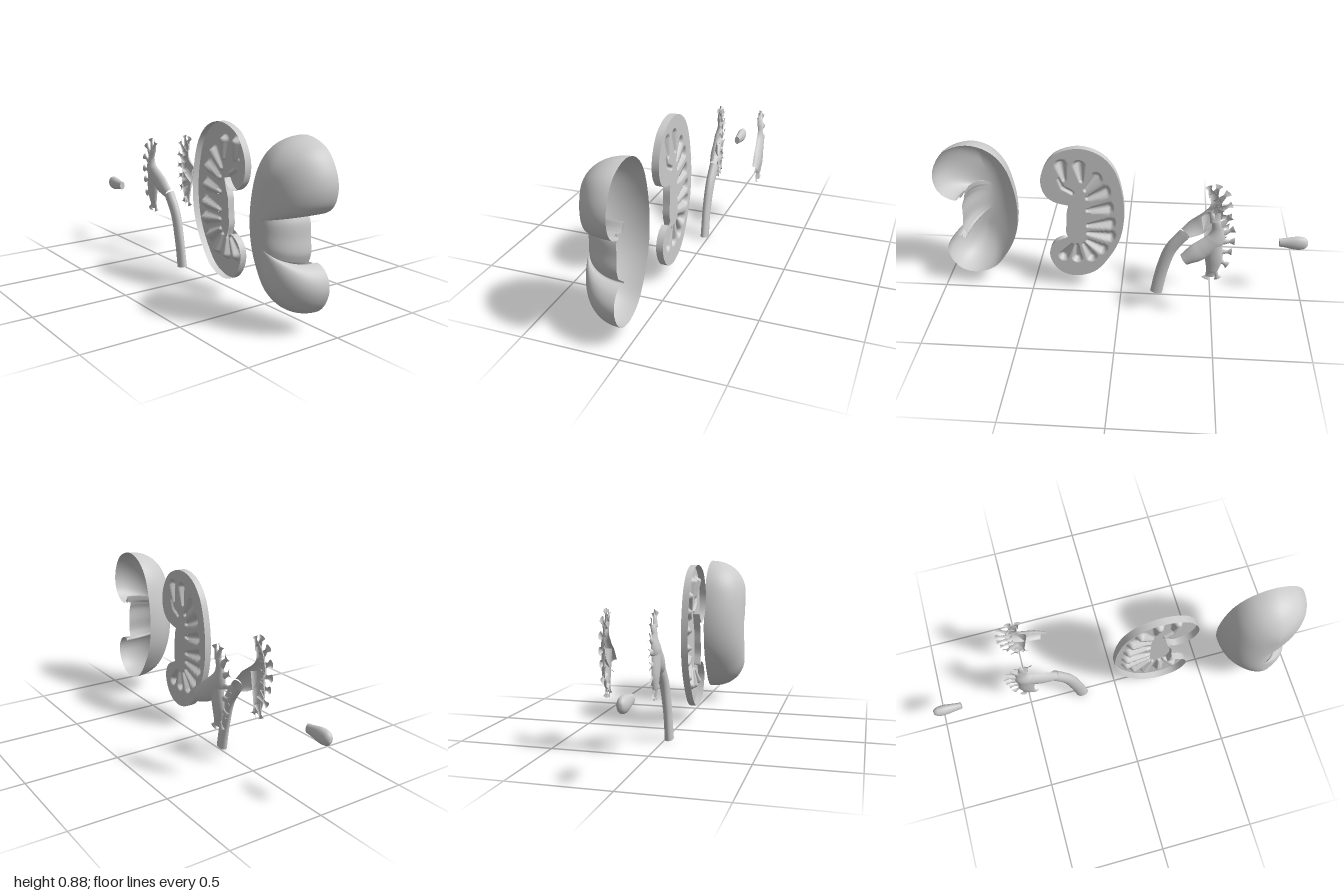
import * as THREE from 'three';
import { mergeVertices } from 'three/addons/utils/BufferGeometryUtils.js';

const material = new THREE.MeshStandardMaterial({ color: 0xcccccc, side: THREE.DoubleSide });

function add(parent, name, geometry) {
  const mesh = new THREE.Mesh(geometry, material);
  mesh.name = name;
  parent.add(mesh);
  return mesh;
}

// Smooth surface from a rule fn(u, v) -> [x, y, z]
function surface(nu, nv, fn) {
  const g = new THREE.PlaneGeometry(1, 1, nu, nv);
  const pos = g.attributes.position, uv = g.attributes.uv;
  for (let i = 0; i < pos.count; i++) pos.setXYZ(i, ...fn(uv.getX(i), uv.getY(i)));
  g.deleteAttribute('uv');
  g.deleteAttribute('normal');
  const merged = mergeVertices(g, 1e-5);
  merged.computeVertexNormals();
  return merged;
}

// Bean-shaped outline as [z, y], with the notch on the +z side
const outline = new THREE.CatmullRomCurve3([
  [.80, .88], [.92, .84], [.98, .76], [1, .68], [.985, .61], [.95, .57], [.89, .55], [.855, .575],
  [.835, .605], [.85, .55], [.865, .51], [.87, .44], [.875, .37], [.86, .31], [.89, .325], [.935, .305],
  [.965, .26], [.97, .21], [.945, .145], [.90, .10], [.82, .083], [.72, .12], [.645, .21],
  [.585, .33], [.56, .465], [.57, .625], [.615, .77], [.69, .85],
].map(([z, y]) => new THREE.Vector3(0, y, z)), true);

// Point between the middle spine (t = 0) and the outline (t = 1)
function inside(u, t) {
  const p = outline.getPoint(u % 1);
  const ys = .48 + (p.y - .48) * .5;
  const zs = .735 + 1.2 * (ys - .48) ** 2;
  return { y: ys + (p.y - ys) * t, z: zs + (p.z - zs) * t, rim: p };
}

// Half shell, its rim cut back at the notch
function shellGeometry() {
  return surface(224, 40, (u, v) => {
    const a = v * Math.PI / 2;
    const p = inside(u, Math.sin(a));
    const notch = p.rim.z > .8 && p.rim.z < .882 && p.rim.y > .32 && p.rim.y < .56;
    const x0 = notch ? -.055 : -.03;
    return [x0 - (.245 + x0) * Math.cos(a) ** .92, p.y, p.z];
  });
}

// Drop-shaped hollows in the slice: [z, y] wide end, [z, y] narrow end, two radii
const hollows = [
  [.315, .785, .30, .70], [.22, .785, .21, .695], [.13, .715, .19, .64], [.085, .635, .18, .59],
  [.07, .535, .18, .515], [.06, .44, .18, .42], [.06, .355, .18, .37], [.105, .27, .185, .32],
  [.165, .215, .205, .295], [.245, .205, .245, .285], [.32, .215, .275, .285],
].map((h) => [...h, .032, .014]);
hollows.push([.33, .70, .31, .65, .008, .012], [.31, .65, .26, .62, .012, .012]);

function hollowDepth(z, y) {
  let depth = 0;
  for (const [z0, y0, z1, y1, r0, r1] of hollows) {
    const dz = z1 - z0, dy = y1 - y0;
    const k = THREE.MathUtils.clamp(((z - z0) * dz + (y - y0) * dy) / (dz * dz + dy * dy), 0, 1);
    const r = r0 + (r1 - r0) * k;
    const d = Math.hypot(z - z0 - dz * k, y - y0 - dy * k) / r;
    depth = Math.max(depth, r * (1 - THREE.MathUtils.smoothstep(d, .25, 1)));
  }
  return depth;
}

// Sweep along a path in the y-z plane; stations are [x, y, z, radius, flatness].
// side 0 makes a full tube, +1 or -1 only the half bulging to that side of x.
function sweep(stations, side, steps = 24, around = 20) {
  const path = new THREE.CatmullRomCurve3(stations.map((s) => new THREE.Vector3(s[0], s[1], s[2])));
  const size = new THREE.CatmullRomCurve3(stations.map((s) => new THREE.Vector3(s[3], s[4], 0)));
  return surface(steps, around, (u, v) => {
    const p = path.getPoint(u), t = path.getTangent(u), s = size.getPoint(u);
    const len = Math.hypot(t.y, t.z);
    const a = v * Math.PI * (side ? 1 : 2);
    const c = s.x * Math.cos(a);
    const x = p.x + (side || 1) * s.x * s.y * Math.sin(a);
    return [x, p.y - t.z / len * c, p.z + t.y / len * c];
  });
}

// Branching half funnel with flared cups
function funnelHalf(name, x, side) {
  const g = new THREE.Group();
  g.name = name;
  add(g, 'mainBranch', sweep([
    [x + .014, .404, -.338, .034, .8], [x + .007, .462, -.42, .052, .62], [x, .52, -.485, .05, .62],
    [x, .583, -.497, .03, .6], [x, .645, -.48, .02, .6],
  ], side, 32));
  add(g, 'lowerBranch', sweep([
    [x, .51, -.475, .05, .62], [x, .40, -.488, .044, .6], [x, .335, -.483, .03, .6], [x, .295, -.475, .02, .5],
  ], side));
  const cups = [
    [.63, -.48, .69, -.45], [.63, -.48, .70, -.505], [.59, -.495, .66, -.557], [.55, -.50, .588, -.58],
    [.51, -.50, .515, -.585], [.45, -.50, .452, -.575], [.41, -.49, .37, -.56], [.35, -.485, .285, -.518],
    [.34, -.48, .28, -.452],
  ];
  for (const [y0, z0, y1, z1] of cups) {
    const at = (k) => [x, y0 + (y1 - y0) * k, z0 + (z1 - z0) * k];
    add(g, 'cup', sweep([[...at(0), .026, .6], [...at(.6), .012, .6], [...at(1), .021, .5]], side, 10, 12));
  }
  return g;
}

export function createModel() {
  const model = new THREE.Group();
  model.name = 'explodedOrgan';

  add(model, 'outerShell', shellGeometry());

  // Cut slice: dimpled face and a skirt behind its edge
  const slice = new THREE.Group();
  slice.name = 'cutSlice';
  const shift = -.574;
  add(slice, 'sliceFace', surface(252, 80, (u, v) => {
    const p = inside(u, v);
    const z = p.z + shift;
    return [-.035 - hollowDepth(z, p.y), p.y, z];
  }));
  add(slice, 'sliceSkirt', surface(252, 2, (u, v) => {
    const p = inside(u, 1);
    return [-.035 - .037 * v, p.y, p.z + shift];
  }));
  model.add(slice);

  // Two funnel halves, the inner one joined to the drain tube
  model.add(funnelHalf('innerFunnel', -.027, -1), funnelHalf('outerFunnel', .203, 1));
  add(model, 'drainTube', sweep([
    [-.021, .008, -.198, .034, .66], [-.02, .17, -.228, .034, .66],
    [-.016, .305, -.27, .034, .7], [-.013, .404, -.338, .034, .75],
  ], 0, 32, 28));

  // Small drop-shaped body with a flat narrow end
  const drop = new THREE.Group();
  drop.name = 'dropBody';
  const profile = new THREE.SplineCurve([
    [.024, 0], [.028, .03], [.036, .07], [.039, .1], [.034, .13], [.018, .147], [0, .15],
  ].map(([r, h]) => new THREE.Vector2(r, h))).getPoints(30);
  profile.forEach((p) => { p.x = Math.max(p.x, 0); });
  add(drop, 'dropSide', new THREE.LatheGeometry(profile, 28).rotateX(-Math.PI / 2));
  add(drop, 'dropEnd', new THREE.CircleGeometry(.024, 28));
  drop.scale.x = .66;
  drop.position.set(-.033, .362, -.85);
  model.add(drop);

  return model;
}
